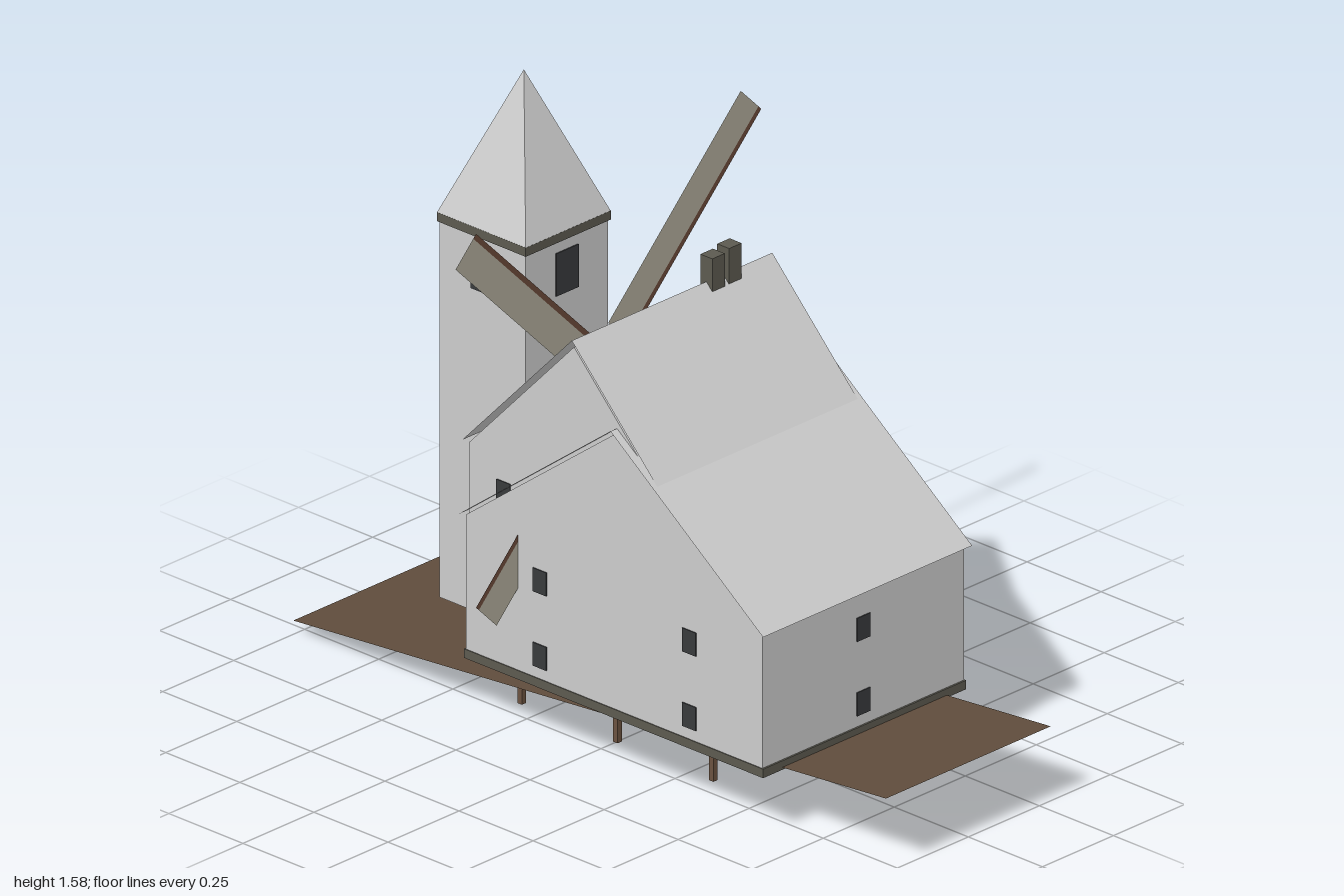
import * as THREE from 'three';

const paint = (color, extra = {}) => new THREE.MeshStandardMaterial({ color, flatShading: true, ...extra });
const thin = { side: THREE.DoubleSide };

export function createModel() {
  const model = new THREE.Group();
  const grey = paint(0xcccccc);
  const greySheet = paint(0xcccccc, thin);
  const trim = paint(0x5c5a50);
  const glass = paint(0x383a3c);
  const wood = paint(0x6b5240);
  const woodSheet = paint(0x6b4a3a, thin);
  const cloth = paint(0xb0ab9a, thin);
  const earth = paint(0x5f4c3c, thin);

  function add(name, geometry, material, x = 0, y = 0, z = 0, parent = model) {
    const mesh = new THREE.Mesh(geometry, material);
    mesh.name = name;
    mesh.position.set(x, y, z);
    parent.add(mesh);
    return mesh;
  }
  const box = (name, mat, w, h, d, x, y, z) => add(name, new THREE.BoxGeometry(w, h, d), mat, x, y, z);

  // Wall block: a [z, y] outline extruded across x
  function block(name, outline, halfWidth) {
    const shape = new THREE.Shape(outline.map(([z, y]) => new THREE.Vector2(z, y)));
    const geo = new THREE.ExtrudeGeometry(shape, { depth: halfWidth * 2, bevelEnabled: false });
    geo.translate(0, 0, -halfWidth).rotateY(-Math.PI / 2);
    add(name, geo, grey);
  }

  // Thin sheet spanning x, running from [z, y] to [z, y]
  function sheet(name, mat, halfWidth, [z0, y0], [z1, y1]) {
    const geo = new THREE.PlaneGeometry(halfWidth * 2, Math.hypot(z1 - z0, y1 - y0));
    const mesh = add(name, geo, mat, 0, (y0 + y1) / 2, (z0 + z1) / 2);
    mesh.rotation.x = Math.atan2(z1 - z0, y1 - y0);
  }

  // House body and the taller cross block behind it
  block('houseWalls', [[0.645, 0.175], [0.645, 0.55], [0.145, 0.925], [-0.355, 0.55], [-0.355, 0.175]], 0.355);
  block('upperWalls', [[0.355, 0.5], [0.355, 0.74], [0, 1.11], [-0.355, 0.74], [-0.355, 0.5]], 0.345);
  sheet('mainRoofFront', greySheet, 0.368, [0.66, 0.55], [0.145, 0.938]);
  sheet('mainRoofBack', greySheet, 0.368, [-0.37, 0.55], [0.145, 0.938]);
  sheet('upperRoofFront', greySheet, 0.353, [0.37, 0.745], [0, 1.13]);
  sheet('upperRoofBack', greySheet, 0.353, [-0.37, 0.745], [0, 1.13]);
  sheet('rearCanopy', greySheet, 0.24, [-0.43, 0.335], [-0.355, 0.345]);
  box('baseTrim', trim, 0.715, 0.024, 1.01, 0, 0.177, 0.145);
  box('chimney', trim, 0.044, 0.095, 0.04, 0.143, 1.15, 0);
  box('chimney', trim, 0.044, 0.095, 0.04, 0.202, 1.158, 0);

  // Windows
  for (const y of [0.25, 0.45]) {
    box('frontWindow', glass, 0.046, 0.063, 0.006, 0, y, 0.645);
    for (const side of [-1, 1]) {
      for (const z of [0.4, -0.105]) box('sideWindow', glass, 0.006, 0.063, 0.046, side * 0.355, y, z);
    }
  }
  for (const side of [-1, 1]) {
    for (const y of [0.25, 0.45, 0.65]) box('rearWindow', glass, 0.046, 0.063, 0.006, side * 0.24, y, -0.355);
    box('upperSideWindow', glass, 0.006, 0.063, 0.046, side * 0.345, 0.642, -0.237);
  }

  // Tower with a pyramid spire
  box('towerWalls', grey, 0.29, 1.015, 0.29, 0, 0.6725, -0.5);
  box('towerCornice', trim, 0.3, 0.024, 0.3, 0, 1.187, -0.5);
  const spire = new THREE.ConeGeometry(0.15 * Math.SQRT2, 0.382, 4);
  spire.rotateY(Math.PI / 4);
  add('towerSpire', spire, grey, 0, 1.389, -0.5);
  for (const side of [-1, 1]) {
    box('towerWindow', glass, 0.078, 0.115, 0.006, 0, 1.088, -0.5 + side * 0.145);
    box('towerWindow', glass, 0.006, 0.115, 0.078, side * 0.145, 1.088, -0.5);
  }

  // Four sails turning about a hub inside the upper block
  const sails = new THREE.Group();
  sails.name = 'sails';
  sails.position.set(0, 0.907, -0.18);
  model.add(sails);
  for (let i = 0; i < 4; i++) {
    const arm = new THREE.Group();
    arm.name = 'sailArm';
    arm.rotation.z = Math.PI / 4 + i * Math.PI / 2;
    sails.add(arm);
    add('spar', new THREE.PlaneGeometry(0.71, 0.014), woodSheet, 0.355, 0.007, 0, arm);
    add('sailCloth', new THREE.PlaneGeometry(0.66, 0.088), cloth, 0.38, 0.058, 0, arm);
  }

  // Stilts and the beams they carry
  for (const x of [-0.192, 0.192]) {
    box('floorBeam', wood, 0.015, 0.018, 0.66, x, 0.156, 0);
    for (const z of [-0.323, 0, 0.323]) box('stilt', wood, 0.015, 0.15, 0.015, x, 0.075, z);
  }

  // Sloping ground
  sheet('ground', earth, 0.29, [-1, 0.037], [1, 0.2]);

  return model;
}
